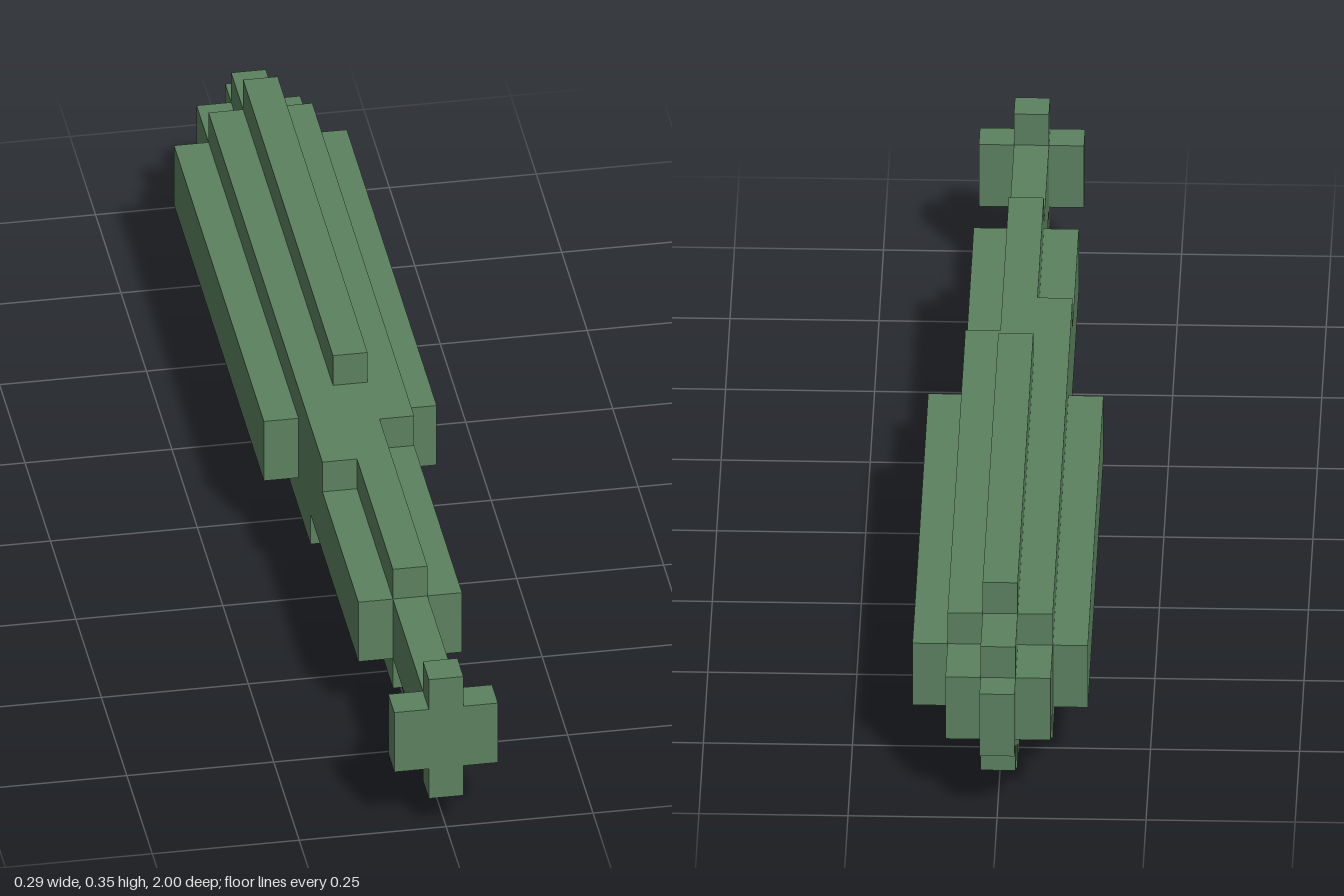
import * as THREE from 'three';

const U = 2 / 34; // one block

export function createModel() {
  const model = new THREE.Group();
  const green = new THREE.MeshStandardMaterial({ color: 0x5c8260 });
  green.name = 'green';

  // Stepped prism along z; heights[i] is the half height of the columns i blocks from the middle.
  function steppedPrism(name, heights, from, to) {
    const quarter = [];
    heights.forEach((h, i) => {
      if (i > 0) quarter.push([i - 0.5, h]);
      quarter.push([i + 0.5, h]);
    });
    const back = [...quarter].reverse();
    const outline = [
      ...back,
      ...quarter.map(([x, y]) => [-x, y]),
      ...back.map(([x, y]) => [-x, -y]),
      ...quarter.map(([x, y]) => [x, -y]),
    ].map(([x, y]) => new THREE.Vector2(x * U, y * U));
    const geometry = new THREE.ExtrudeGeometry(new THREE.Shape(outline), {
      depth: (to - from) * U,
      bevelEnabled: false,
    });
    const mesh = new THREE.Mesh(geometry, green);
    mesh.name = name;
    mesh.position.set(0, 3 * U, (from - 17) * U);
    model.add(mesh);
  }

  // Lengthwise parts, measured in blocks from the back end
  steppedPrism('backTip', [1], 0, 1);
  steppedPrism('backCap', [2, 1], 1, 3);
  steppedPrism('thickBody', [3, 2, 1], 3, 18);
  steppedPrism('taper', [2, 1], 18, 28);
  steppedPrism('neck', [1], 28, 33);
  steppedPrism('frontKnob', [2, 1], 33, 34);

  // Corner strips of uneven length that fill the start of the taper
  const corners = [
    ['leftUpperCorner', 1, 1, 2],
    ['leftLowerCorner', 1, -1, 3],
    ['rightUpperCorner', -1, 1, 4],
    ['rightLowerCorner', -1, -1, 2],
  ];
  for (const [name, sx, sy, length] of corners) {
    const mesh = new THREE.Mesh(new THREE.BoxGeometry(U, U, length * U), green);
    mesh.name = name;
    mesh.position.set(sx * U, (3 + sy * 1.5) * U, (1 + length / 2) * U);
    model.add(mesh);
  }

  return model;
}
